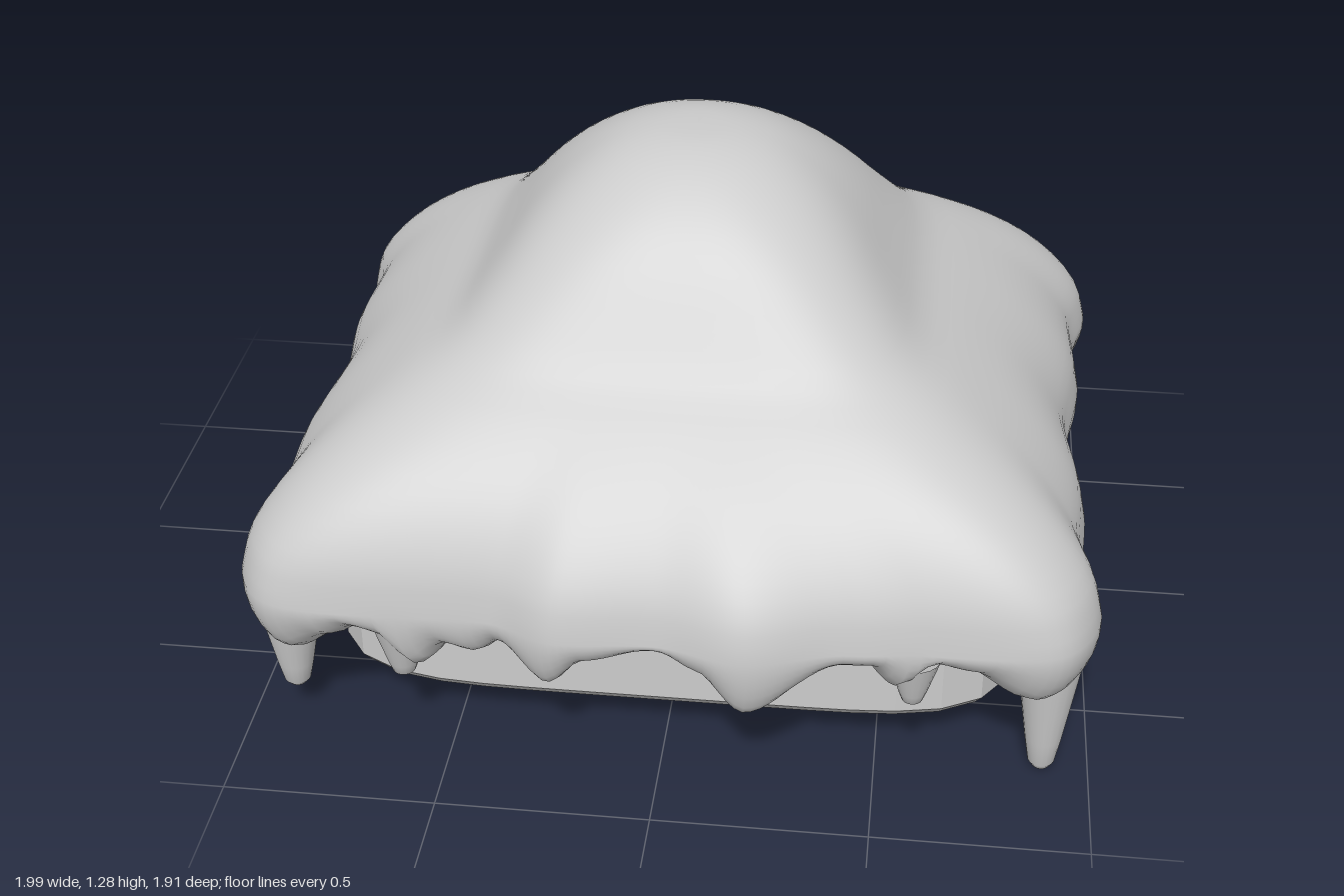
import * as THREE from 'three';

const SEG = 320;

// smooth interpolation through [position, value] keys
function keyed(keys, p) {
  if (p <= keys[0][0]) return keys[0][1];
  for (let i = 1; i < keys.length; i++) {
    const [x1, v1] = keys[i];
    if (p <= x1) {
      const [x0, v0] = keys[i - 1];
      return THREE.MathUtils.lerp(v0, v1, THREE.MathUtils.smoothstep(p, x0, x1));
    }
  }
  return keys[keys.length - 1][1];
}

// point on a rounded square of half width 1; higher n is squarer
function roundedSquare(t, n) {
  const c = Math.cos(t), s = Math.sin(t);
  const r = 1 / Math.pow(Math.abs(c) ** n + Math.abs(s) ** n, 1 / n);
  return [r * c, r * s];
}

// lower edge height along the front/back (by x) and along the sides (by z)
const HEM_FRONT = [[-0.94, 0.27], [-0.82, 0.34], [-0.74, 0.38], [-0.67, 0.36], [-0.6, 0.27], [-0.53, 0.34],
  [-0.45, 0.32], [-0.38, 0.36], [-0.27, 0.28], [-0.17, 0.36], [0, 0.4], [0.1, 0.36], [0.22, 0.26],
  [0.44, 0.38], [0.51, 0.38], [0.58, 0.31], [0.65, 0.39], [0.75, 0.37], [0.94, 0.27]];
const HEM_SIDE = [[-0.83, 0.27], [-0.7, 0.26], [-0.61, 0.33], [-0.54, 0.27], [-0.46, 0.36], [-0.38, 0.35],
  [-0.2, 0.27], [-0.04, 0.37], [0.02, 0.35], [0.15, 0.17], [0.33, 0.36], [0.44, 0.37], [0.54, 0.29],
  [0.62, 0.36], [0.7, 0.26], [0.83, 0.27]];
// outward swelling of the skirt
const SWELL_FRONT = [[-0.8, 0], [-0.4, -0.01], [-0.22, 0.06], [0, 0.04], [0.2, 0.09], [0.45, 0.02], [0.6, 0], [0.8, 0]];
const SWELL_SIDE = [[-0.85, 0], [-0.68, 0.03], [-0.5, -0.01], [-0.3, 0], [0, -0.035], [0.3, 0], [0.5, -0.01], [0.68, 0.03], [0.85, 0]];

// top profile: half width, height, squareness of the section
const PROFILE = [[0, 1.285, 2], [0.1, 1.28, 2.1], [0.2, 1.25, 2.3], [0.3, 1.185, 2.7], [0.385, 1.1, 3.3], [0.47, 0.99, 4.2],
  [0.55, 0.895, 5.2], [0.66, 0.82, 6.5], [0.78, 0.73, 8.5], [0.88, 0.63, 11], [0.945, 0.53, 13], [0.97, 0.43, 14.5]];
// rolled edge: inset scale, blend from skirt height to lower edge
const EDGE = [[1, 0.2], [0.995, 0.4], [0.985, 0.6], [0.97, 0.8], [0.95, 0.94], [0.92, 1], [0.89, 0.94], [0.87, 0.75], [0.84, 0.5], [0.78, 0.38]];

function snowGeometry() {
  const curve = new THREE.CatmullRomCurve3(PROFILE.map(([x, y, n]) => new THREE.Vector3(x, y, n / 20)));
  const rows = curve.getPoints(33).map((p) => ({ hx: p.x, y: p.y, n: p.z * 20, f: 0 }));
  for (const [s, f] of EDGE) rows.push({ hx: 0.97 * s, y: 0.43, n: 14.5, f });

  const positions = [], index = [];
  rows.forEach(({ hx, y, n, f }, i) => {
    const hz = hx * (1.05 - 0.155 * hx * hx);
    const w = 1 - THREE.MathUtils.smoothstep(y, 0.45, 0.85);
    for (let j = 0; j < SEG; j++) {
      const [u, v] = roundedSquare((j / SEG) * Math.PI * 2, n);
      const hem = Math.abs(u) > Math.abs(v) ? keyed(HEM_SIDE, v * 0.87) : keyed(HEM_FRONT, u * 0.98);
      positions.push(
        u * hx * (1 + w * keyed(SWELL_SIDE, v * 0.87)),
        THREE.MathUtils.lerp(y, hem, f),
        v * hz * (1 + w * keyed(SWELL_FRONT, u * 0.98)));
      if (i < rows.length - 1) {
        const a = i * SEG + j, b = i * SEG + ((j + 1) % SEG);
        index.push(a, b, a + SEG, b, b + SEG, a + SEG);
      }
    }
  });
  const g = new THREE.BufferGeometry();
  g.setAttribute('position', new THREE.Float32BufferAttribute(positions, 3));
  g.setIndex(index);
  g.computeVertexNormals();
  return g;
}

// tapering drop with a rounded tip and a wide root
function icicleGeometry(tip, radius) {
  const h = 0.37 - tip;
  const pts = [[0, 0], [0.3, 0.012], [0.48, 0.06], [0.66, 0.25], [0.86, 0.5], [1.06, 0.75], [1.25, 1]];
  return new THREE.LatheGeometry(pts.map(([r, y]) => new THREE.Vector2(r * radius, tip + y * h)), 20);
}

// base block with softly bowed sides, rounded corners and a small bevel
function baseGeometry() {
  const outline = [];
  for (let i = 0; i < 64; i++) {
    const [u, v] = roundedSquare((i / 64) * Math.PI * 2, 6);
    outline.push(new THREE.Vector2(u * 0.82, v * 0.7));
  }
  const g = new THREE.ExtrudeGeometry(new THREE.Shape(outline),
    { depth: 0.27, bevelThickness: 0.025, bevelSize: 0.02, bevelSegments: 1 });
  g.rotateX(-Math.PI / 2);
  g.translate(0, 0.13, 0);
  return g;
}

export function createModel() {
  const group = new THREE.Group();
  const grey = new THREE.MeshStandardMaterial({ color: 0xcccccc });
  grey.name = 'pale grey';
  const add = (name, geometry, x = 0, z = 0) => {
    const mesh = new THREE.Mesh(geometry, grey);
    mesh.name = name;
    mesh.position.set(x, 0, z);
    group.add(mesh);
  };

  add('snowCap', snowGeometry());
  add('baseBlock', baseGeometry());

  // long icicles at the corners
  for (const [x, z, tip] of [[0.89, 0.71, 0], [-0.89, 0.71, 0.09], [0.89, -0.71, 0.1], [-0.89, -0.71, 0.07]]) {
    add('cornerIcicle', icicleGeometry(tip, 0.066), x, z);
  }
  // short icicles along the edges
  for (const s of [1, -1]) {
    add('edgeIcicle', icicleGeometry(0.24, 0.05), 0.58, s * 0.8);
    add('edgeIcicle', icicleGeometry(0.22, 0.055), -0.6, s * 0.8);
    add('sideIcicle', icicleGeometry(0.23, 0.05), s * 0.89, 0.54);
    add('sideIcicle', icicleGeometry(0.19, 0.052), s * 0.89, -0.55);
  }
  return group;
}
